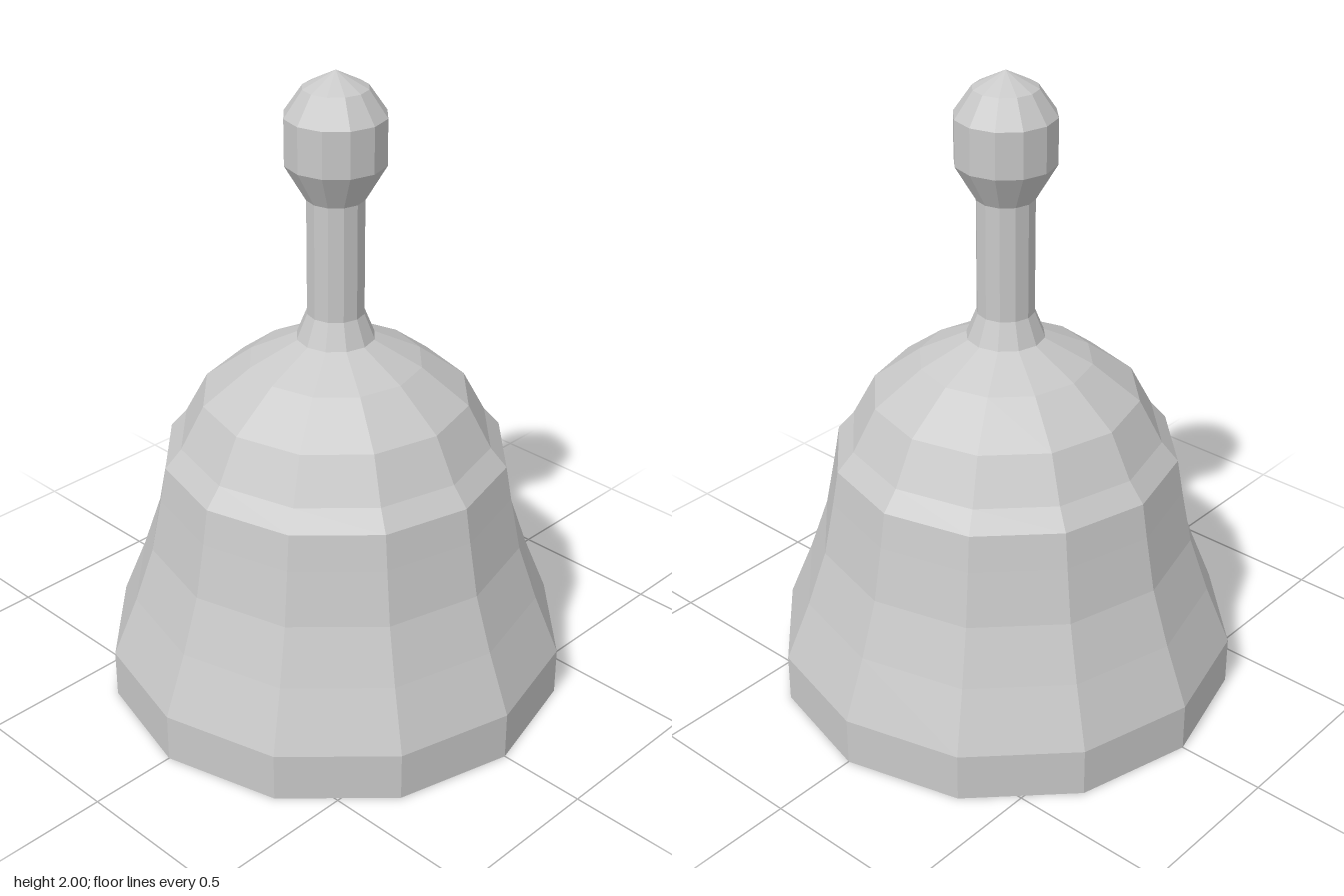
import * as THREE from 'three';

const SIDES = 12;

// Faceted solid of revolution from [radius, height] pairs, bottom to top
function turned(name, profile, material) {
  const points = profile.map(([r, y]) => new THREE.Vector2(r, y));
  const mesh = new THREE.Mesh(new THREE.LatheGeometry(points, SIDES), material);
  mesh.name = name;
  return mesh;
}

export function createModel() {
  const group = new THREE.Group();
  group.name = 'handBell';
  const metal = new THREE.MeshStandardMaterial({ color: 0xc8c8c8, flatShading: true });
  metal.name = 'grey metal';

  // Flared bell with a closed flat base and a stepped shoulder
  group.add(turned('bellBody', [
    [0, 0], [0.722, 0], [0.722, 0.155], [0.645, 0.345], [0.585, 0.52], [0.552, 0.69],
    [0.533, 0.8], [0.482, 0.86], [0.41, 0.995], [0.265, 1.105], [0.115, 1.18], [0, 1.18],
  ], metal));

  // Grip with a flared foot
  group.add(turned('handle', [
    [0.12, 1.18], [0.088, 1.26], [0.088, 1.62],
  ], metal));

  // Rounded knob on the end of the grip
  group.add(turned('knob', [
    [0.088, 1.62], [0.152, 1.73], [0.152, 1.87], [0.097, 1.95], [0, 2],
  ], metal));

  return group;
}
